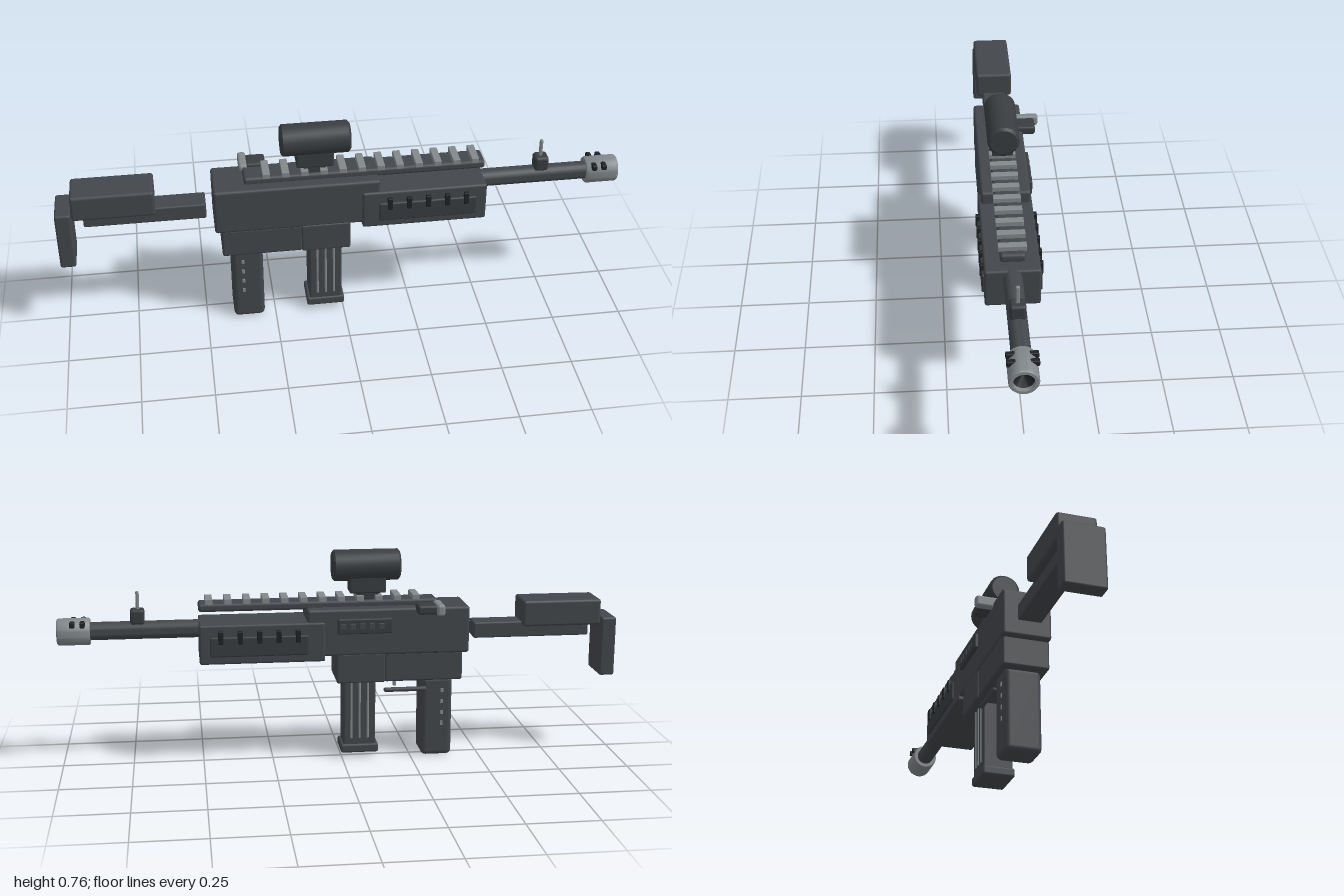
import * as THREE from 'three';
import { RoundedBoxGeometry } from 'three/addons/geometries/RoundedBoxGeometry.js';
import { toCreasedNormals } from 'three/addons/utils/BufferGeometryUtils.js';

const mat = (name, color) => {
  const m = new THREE.MeshStandardMaterial({ color });
  m.name = name;
  return m;
};

export function createModel() {
  const model = new THREE.Group();
  model.name = 'rifle';
  const body = mat('gunmetal', 0x43474b);
  const dark = mat('dark polymer', 0x393d40);
  const steel = mat('light steel', 0x83898b);
  const black = mat('bore black', 0x1f2123);
  const MID = 0.022; // z of the weapon's centre plane

  const add = (name, geometry, material, parent = model) => {
    const mesh = new THREE.Mesh(geometry, material);
    mesh.name = name;
    parent.add(mesh);
    return mesh;
  };
  // Rounded box given by its limits on each axis
  const box = (name, material, [x0, x1], [y0, y1], [z0, z1], r = 0.008, parent = model) => {
    const s = [x1 - x0, y1 - y0, z1 - z0];
    const g = new RoundedBoxGeometry(...s, 2, Math.min(r, Math.min(...s) * 0.45));
    const mesh = add(name, g, material, parent);
    mesh.position.set((x0 + x1) / 2, (y0 + y1) / 2, (z0 + z1) / 2);
    return mesh;
  };
  // Turned part along x; the profile is a list of [radius, x]
  const turned = (name, material, profile, y, z = MID, sides = 24) => {
    const pts = profile.map(([r, x]) => new THREE.Vector2(r, x));
    const g = new THREE.LatheGeometry(pts, sides).rotateZ(-Math.PI / 2);
    const mesh = add(name, toCreasedNormals(g, 0.6), material);
    mesh.position.set(0, y, z);
    return mesh;
  };
  const group = (name) => {
    const g = new THREE.Group();
    g.name = name;
    model.add(g);
    return g;
  };
  const around = (w) => [MID - w / 2, MID + w / 2];

  // Stock
  box('buttPad', body, [-1, -0.945], [0.288, 0.505], [-0.055, 0.088]);
  box('cheekRest', body, [-0.942, -0.655], [0.477, 0.572], [-0.05, 0.085], 0.01);
  box('stockTube', body, [-0.905, -0.48], [0.434, 0.492], [-0.022, 0.062], 0.006);

  // Receiver and handguard
  box('receiver', body, [-0.455, 0.127], [0.393, 0.563], [-0.066, 0.107], 0.01);
  box('lowerReceiver', body, [-0.433, -0.15], [0.292, 0.4], [-0.06, 0.105]);
  box('magazineWell', body, [-0.152, 0.022], [0.292, 0.4], [-0.064, 0.109], 0.006);
  box('handguard', body, [0.064, 0.507], [0.377, 0.519], [-0.071, 0.115], 0.008);
  box('ejectionPort', dark, [-0.175, 0.02], [0.475, 0.53], [-0.079, -0.062], 0.005);
  for (let i = 0; i < 5; i++) {
    const x = -0.145 + i * 0.034;
    box('portRib', body, [x, x + 0.02], [0.491, 0.514], [-0.082, -0.076], 0.002);
  }

  // Side panels with vent tabs, mirrored about the centre plane
  for (const side of [1, -1]) {
    const panel = group(side > 0 ? 'leftPanel' : 'rightPanel');
    const out = (a, b) => [MID + side * a, MID + side * b].sort((p, q) => p - q);
    box('panelPlate', dark, [0.122, 0.47], [0.405, 0.477], out(0.088, 0.101), 0.006, panel);
    for (let i = 0; i < 5; i++) {
      const x = 0.16 + i * 0.068;
      box('ventTab', black, [x - 0.009, x + 0.009], [0.452, 0.497], out(0.09, 0.106), 0.003, panel);
    }
  }

  // Top rail with cross teeth
  box('rail', body, [-0.345, 0.507], [0.555, 0.585], around(0.084), 0.01);
  const teeth = group('railTeeth');
  for (let i = 0; i < 12; i++) {
    const x = 0.47 - i * 0.067;
    box('railTooth', steel, [x - 0.013, x + 0.013], [0.582, 0.602], around(0.094), 0.002, teeth);
  }

  // Charging handle
  box('chargingPlate', steel, [-0.355, -0.326], [0.542, 0.582], [-0.127, -0.028], 0.009);
  box('chargingBlock', dark, [-0.33, -0.26], [0.545, 0.578], [-0.112, -0.042], 0.009);

  // Optic
  turned('scopeBody', dark, [[0, -0.213], [0.047, -0.213], [0.056, -0.206],
    [0.056, 0.022], [0.047, 0.03], [0, 0.03]], 0.705);
  box('scopeMount', dark, [-0.16, -0.03], [0.608, 0.68], around(0.074), 0.006);
  box('mountFoot', dark, [-0.135, -0.055], [0.58, 0.615], around(0.06), 0.004);

  // Barrel and muzzle device
  turned('barrel', body, [[0, 0.49], [0.032, 0.49], [0.032, 0.9], [0, 0.9]], 0.49);
  turned('muzzle', steel, [[0.03, 0.885], [0.045, 0.885], [0.048, 0.89], [0.048, 0.994],
    [0.044, 1], [0.034, 1], [0.033, 0.97]], 0.49, MID, 32);
  turned('bore', black, [[0.034, 0.985], [0, 0.955]], 0.49);
  for (const x of [0.91, 0.945]) {
    box('muzzleSlot', black, [x - 0.009, x + 0.009], [0.512, 0.532], around(0.102), 0.004);
  }

  // Front sight
  box('sightBase', dark, [0.695, 0.745], [0.512, 0.567], around(0.052), 0.01);
  box('sightPost', steel, [0.712, 0.724], [0.56, 0.63], around(0.014), 0.005);

  // Grip with small studs on both sides
  box('grip', body, [-0.402, -0.29], [0.003, 0.3], [-0.042, 0.086], 0.018);
  for (const z of [-0.042, 0.086]) {
    for (let i = 0; i < 4; i++) {
      const y = 0.125 + i * 0.0415;
      box('gripStud', steel, [-0.368, -0.358], [y - 0.008, y + 0.008], [z - 0.003, z + 0.003], 0.001);
    }
  }

  // Trigger and guard rod
  const rod = add('guardRod', new THREE.CapsuleGeometry(0.0085, 0.14, 4, 12).rotateZ(Math.PI / 2), body);
  rod.position.set(-0.227, 0.259, -0.047);
  box('trigger', steel, [-0.205, -0.193], [0.255, 0.298], around(0.014), 0.003);

  // Magazine with vertical ribs
  box('magazine', body, [-0.122, -0.006], [0.03, 0.3], [-0.031, 0.075], 0.006);
  box('magazineBase', body, [-0.133, 0.004], [0.021, 0.054], [-0.036, 0.08], 0.008);
  for (const z of [-0.031, 0.075]) {
    for (let i = 0; i < 3; i++) {
      const x = -0.094 + i * 0.03;
      box('magazineRib', steel, [x - 0.004, x + 0.004], [0.075, 0.292], [z - 0.004, z + 0.004], 0.003);
    }
  }
  return model;
}
